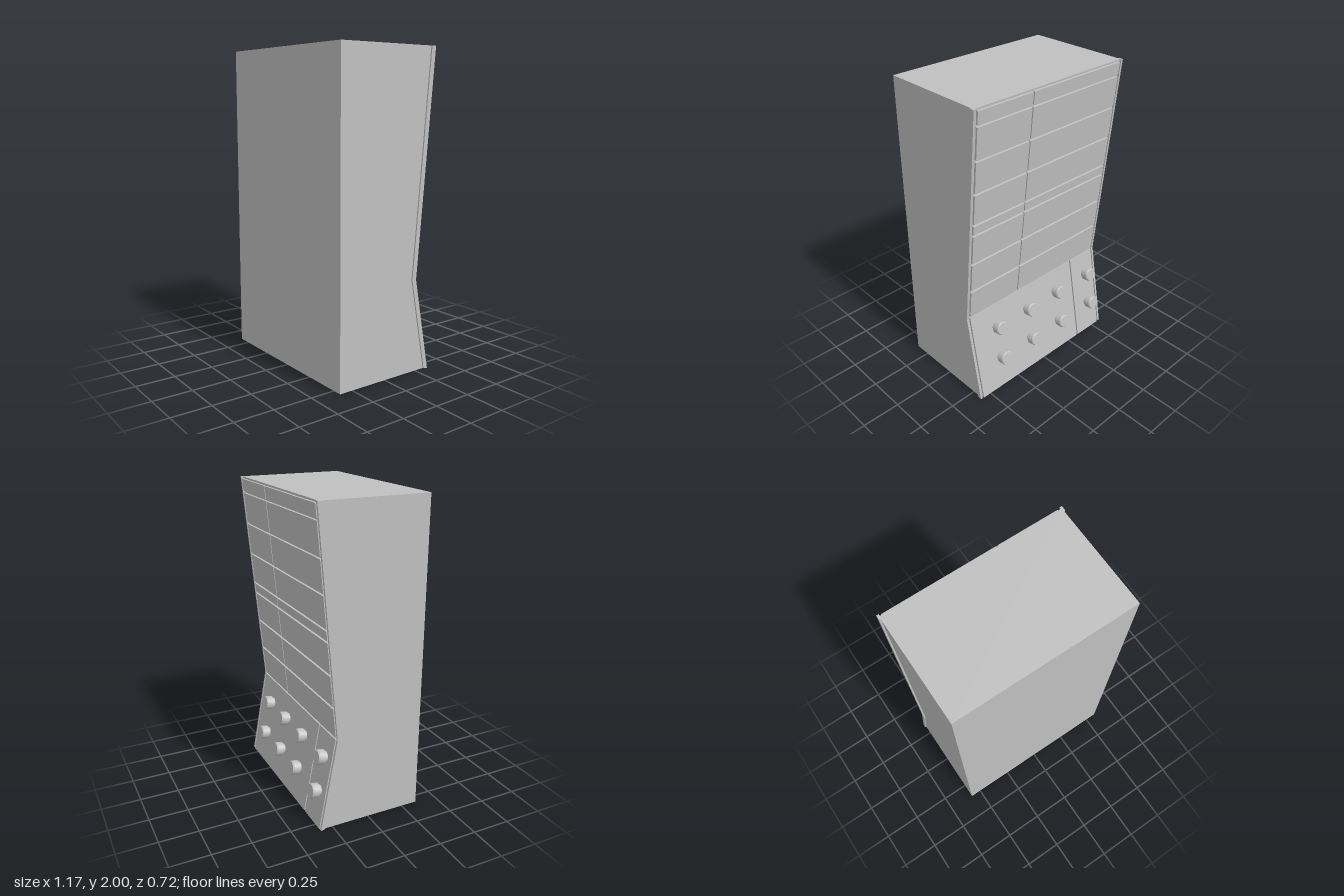
import * as THREE from 'three';

const silver = new THREE.MeshStandardMaterial({ color: 0xc0c0c0 });
silver.name = 'silver';

// Extrude a (z, y) side profile along x, centred on the given x
function sideExtrude(name, points, width, x) {
  const shape = new THREE.Shape(points.map(([z, y]) => new THREE.Vector2(z, y)));
  const geo = new THREE.ExtrudeGeometry(shape, { depth: width, bevelEnabled: false });
  geo.translate(0, 0, -width / 2);
  geo.rotateY(-Math.PI / 2);
  const mesh = new THREE.Mesh(geo, silver);
  mesh.name = name;
  mesh.position.x = x;
  return mesh;
}

// Thin plate lying on the local z = 0 plane and standing out towards -z
function plate(name, x0, x1, y0, y1, depth = 0.013) {
  const mesh = new THREE.Mesh(new THREE.BoxGeometry(x1 - x0, y1 - y0, depth), silver);
  mesh.name = name;
  mesh.position.set((x0 + x1) / 2, (y0 + y1) / 2, -depth / 2);
  return mesh;
}

// Round control with a narrow neck and a softened rim
function knob() {
  const profile = [[0, 0], [0.036, 0], [0.036, 0.016], [0.046, 0.016], [0.046, 0.056], [0.041, 0.064], [0, 0.064]];
  const pts = [];
  profile.forEach(([r, h]) => pts.push(new THREE.Vector2(r, h)));
  const group = new THREE.Group();
  group.name = 'knob';
  // one lathe per profile segment keeps the rims sharp
  for (let i = 1; i < pts.length - 1; i++) {
    const mesh = new THREE.Mesh(new THREE.LatheGeometry([pts[i], pts[i + 1]], 24), silver);
    mesh.name = 'knobFace';
    group.add(mesh);
  }
  group.rotation.x = -Math.PI / 2;
  return group;
}

export function createModel() {
  const model = new THREE.Group();
  model.name = 'cabinet';

  // Main body with a back that folds inwards
  model.add(sideExtrude('body', [
    [0.35, 0.01], [0.35, 2], [-0.338, 2], [-0.213, 0.6], [-0.322, 0.01],
  ], 1.148, 0));

  // Folded edge strips along both sides
  for (const side of [1, -1]) {
    model.add(sideExtrude('edgeTrim', [
      [-0.32, 2], [-0.35, 2], [-0.225, 0.6], [-0.335, 0.006], [-0.305, 0.012], [-0.195, 0.6],
    ], 0.015, side * 0.5755));
  }

  // Upper rack: rows of plates separated by narrow gaps
  const upper = new THREE.Group();
  upper.name = 'upperRack';
  upper.position.set(0, 0.6, -0.213);
  upper.rotation.x = Math.atan2(-0.125, 1.4);
  const rows = [0.2, 0.2, 0.2, 0.065, 0.2, 0.2, 0.2, 0.085];
  let y = 0.006;
  for (const h of rows) {
    upper.add(plate('widePanel', -0.558, 0.154, y, y + h - 0.008));
    upper.add(plate('narrowPanel', 0.162, 0.555, y, y + h - 0.008));
    y += h + 0.0065;
  }
  model.add(upper);

  // Lower control desk with two plates and two rows of knobs
  const lower = new THREE.Group();
  lower.name = 'controlDesk';
  lower.position.set(0, 0.6, -0.213);
  lower.rotation.x = Math.atan2(0.109, 0.59);
  lower.add(plate('widePanel', -0.336, 0.558, -0.608, -0.008));
  lower.add(plate('narrowPanel', -0.558, -0.346, -0.608, -0.008));
  for (const ky of [-0.158, -0.385]) {
    for (const kx of [0.365, 0.095, -0.175, -0.475]) {
      const k = knob();
      k.position.set(kx, ky, -0.012);
      lower.add(k);
    }
  }
  model.add(lower);

  return model;
}
